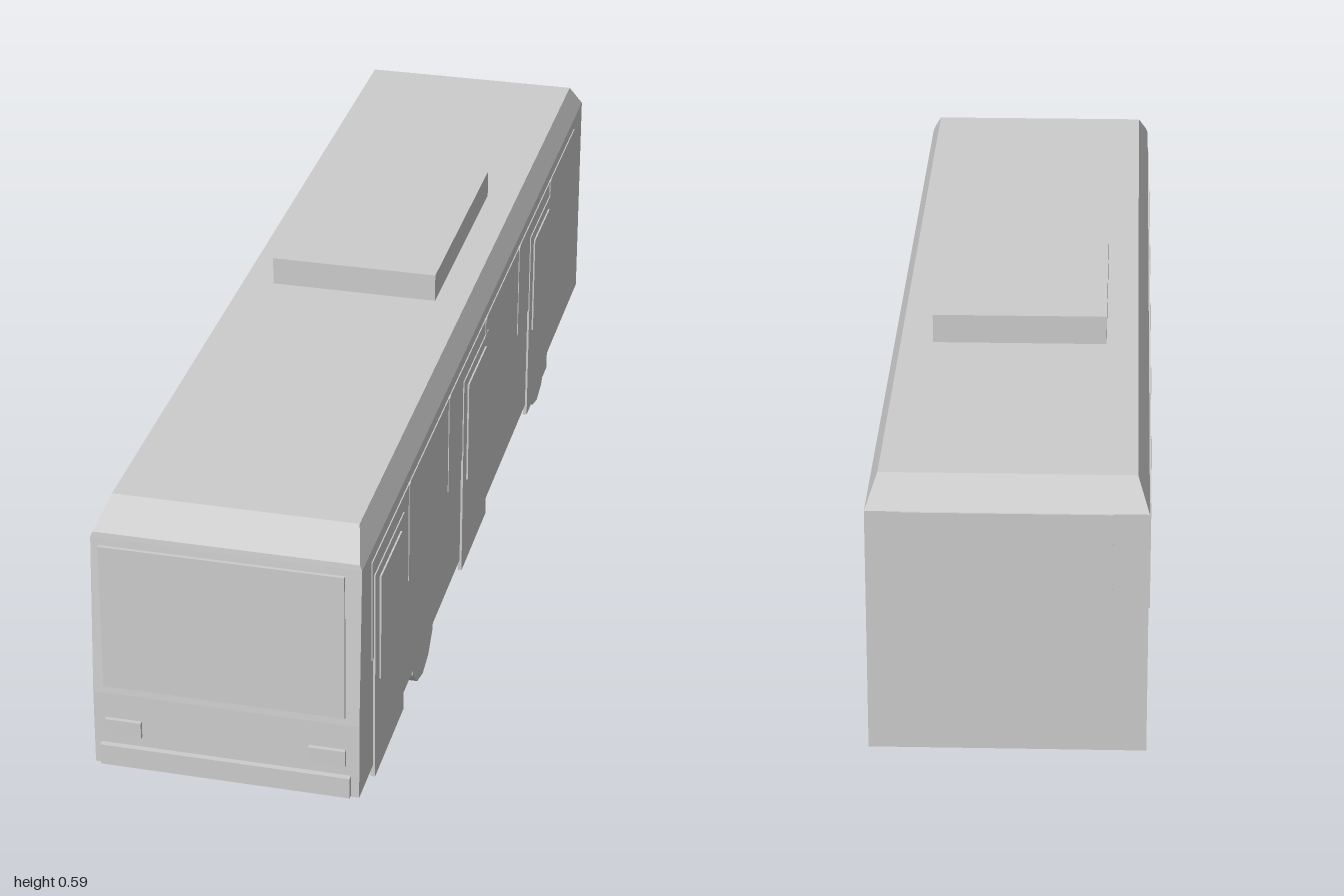
import * as THREE from 'three';
import { ConvexGeometry } from 'three/addons/geometries/ConvexGeometry.js';

export function createModel() {
  const bus = new THREE.Group();
  bus.name = 'bus';
  const grey = new THREE.MeshStandardMaterial({ color: 0xcccccc });
  grey.name = 'light grey';

  const add = (name, geometry) => {
    const mesh = new THREE.Mesh(geometry, grey);
    mesh.name = name;
    bus.add(mesh);
    return mesh;
  };
  // Box given by its limits on each axis
  const box = (name, x0, x1, y0, y1, z0, z1) =>
    add(name, new THREE.BoxGeometry(x1 - x0, y1 - y0, z1 - z0))
      .position.set((x0 + x1) / 2, (y0 + y1) / 2, (z0 + z1) / 2);

  const L = 0.229, R = -0.232, mid = (L + R) / 2; // side walls and centre line

  // Body shell: level pairs of corners, [half width, y, z]
  const corners = [
    [0.2305, 0.06, 0.99], [0.2305, 0.2, 0.988], [0.2305, 0.49, 0.968],
    [0.2265, 0.5, 0.967], [0.211, 0.54, 0.905],
    [0.211, 0.54, -0.953], [0.2305, 0.49, -0.996], [0.2305, 0.06, -0.996],
  ];
  const points = corners.flatMap(([w, y, z]) =>
    [1, -1].map((s) => new THREE.Vector3(mid + s * w, y, z)));
  add('body', new ConvexGeometry(points));

  box('roofUnit', -0.156, 0.152, 0.535, 0.592, -0.385, 0.088);

  // Front and rear fittings
  box('windshield', -0.211, 0.206, 0.218, 0.49, 0.99, 0.996);
  box('bumper', -0.22, 0.215, 0.063, 0.102, 0.985, 1);
  box('rightHeadlight', -0.211, -0.148, 0.121, 0.152, 0.985, 0.996);
  box('leftHeadlight', 0.143, 0.206, 0.121, 0.152, 0.985, 0.996);
  box('rearWindow', mid - 0.172, mid + 0.172, 0.31, 0.49, -1, -0.994);

  // Window bands and their pillars on both sides
  box('leftWindows', L - 0.002, L + 0.002, 0.278, 0.468, -0.905, 0.905);
  box('rightWindows', R - 0.003, R + 0.002, 0.278, 0.468, -0.905, 0.905);
  for (const z of [-0.635, -0.318, 0, 0.318, 0.635]) {
    box('leftPillar', L - 0.002, L + 0.0035, 0.277, 0.469, z - 0.006, z + 0.006);
    box('rightPillar', R - 0.005, R + 0.002, 0.277, 0.469, z - 0.006, z + 0.006);
  }

  // Three doors with glass on the left side
  for (const [z0, z1] of [[0.68, 0.893], [-0.018, 0.2], [-0.64, -0.427]]) {
    box('door', L - 0.004, L + 0.004, 0.038, 0.438, z0, z1);
    box('doorGlass', L + 0.002, L + 0.007, 0.218, 0.418, z0 + 0.03, z1 - 0.03);
  }

  // Twelve-sided wheels with a corner at the bottom
  const wheel = new THREE.CylinderGeometry(0.09, 0.09, 0.052, 12).toNonIndexed();
  wheel.rotateZ(Math.PI / 2);
  wheel.computeVertexNormals();
  for (const z of [0.505, -0.565]) {
    add('leftWheel', wheel).position.set(L - 0.027, 0.09, z);
    add('rightWheel', wheel).position.set(R + 0.027, 0.09, z);
  }
  return bus;
}
